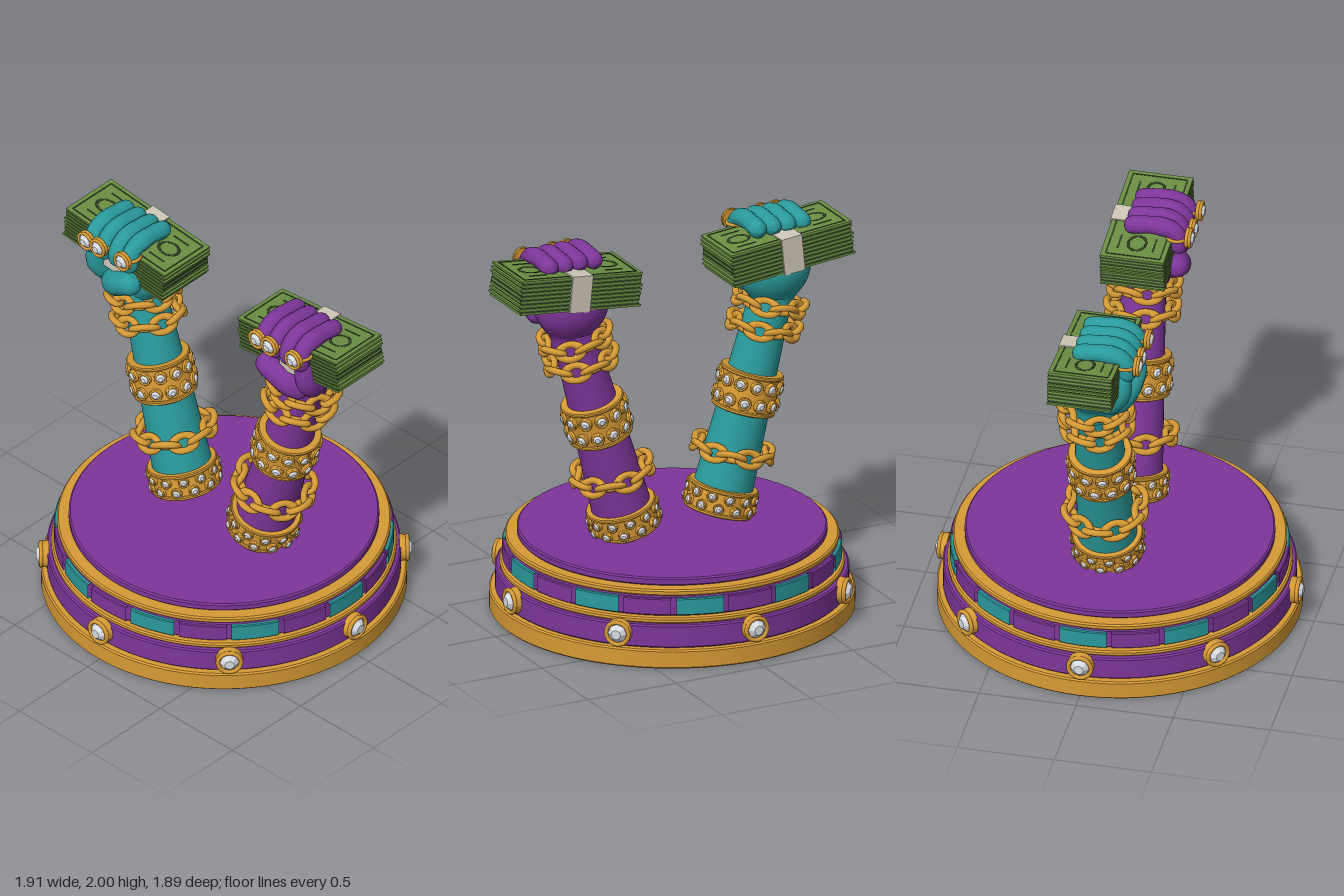
import * as THREE from 'three';
import { toCreasedNormals } from 'three/addons/utils/BufferGeometryUtils.js';

const paint = (color, extra = {}) => new THREE.MeshStandardMaterial({ color, ...extra });
const GOLD = paint(0xd69a35), PURPLE = paint(0x7d3699), TEAL = paint(0x2a9a9c);
const GREEN = paint(0x6b8f42), DARK = paint(0x33452a), PAPER = paint(0xcfc8b8);
const CRYSTAL = paint(0xd8dce2, { flatShading: true });
const PANELS = [PURPLE, TEAL].map(m => paint(m.color, { side: THREE.DoubleSide }));
const V = (x, y, z) => new THREE.Vector3(x, y, z);

function add(parent, name, geo, mat, x = 0, y = 0, z = 0) {
  const mesh = new THREE.Mesh(geo, mat);
  mesh.name = name;
  mesh.position.set(x, y, z);
  parent.add(mesh);
  return mesh;
}

function group(parent, name, x = 0, y = 0, z = 0) {
  const g = new THREE.Group();
  g.name = name;
  g.position.set(x, y, z);
  parent.add(g);
  return g;
}

// Bevelled band between two radii and two heights, optionally only a sector of it
function band(r0, r1, y0, y1, bevel = 0.008, segs = 96, start = 0, sweep = Math.PI * 2) {
  const pts = [[r0, y0], [r1 - bevel, y0], [r1, y0 + bevel], [r1, y1 - bevel], [r1 - bevel, y1], [r0, y1]];
  const geo = new THREE.LatheGeometry(pts.map(p => new THREE.Vector2(...p)), segs, start, sweep);
  return toCreasedNormals(geo, 0.5);
}

// Round-ended tube whose radius changes along a smooth path
function limb(points, radii, radial = 16, segs = 36) {
  const curve = new THREE.CatmullRomCurve3(points);
  const geo = new THREE.TubeGeometry(curve, segs, 1, radial);
  const pos = geo.attributes.position, len = curve.getLength(), v = V(0, 0, 0);
  for (let i = 0; i < pos.count; i++) {
    const t = Math.floor(i / (radial + 1)) / segs, f = t * (radii.length - 1);
    const k = Math.min(Math.floor(f), radii.length - 2);
    const r = THREE.MathUtils.lerp(radii[k], radii[k + 1], f - k);
    const e = Math.min(1, Math.min(t, 1 - t) * len / r);
    const c = curve.getPointAt(t);
    v.fromBufferAttribute(pos, i).sub(c).multiplyScalar(r * Math.sqrt(Math.max(1e-5, 1 - (1 - e) ** 2))).add(c);
    pos.setXYZ(i, v.x, v.y, v.z);
  }
  geo.computeVertexNormals();
  return geo;
}

// Faceted crystal in a gold setting, facing local +z
function gem(parent, r, depth) {
  const g = group(parent, 'gem');
  add(g, 'gemSetting', new THREE.CylinderGeometry(r * 0.92, r, depth, 20), GOLD).rotation.x = Math.PI / 2;
  add(g, 'gemRim', new THREE.TorusGeometry(r * 0.84, r * 0.16, 8, 20), GOLD, 0, 0, depth / 2);
  add(g, 'crystal', new THREE.CylinderGeometry(r * 0.36, r * 0.74, r * 0.4, 8), CRYSTAL, 0, 0, depth / 2 + r * 0.15)
    .rotation.x = Math.PI / 2;
  return g;
}

function gemCircle(parent, count, radius, y, r, depth, offset = 0) {
  for (let i = 0; i < count; i++) {
    const a = (i + offset) / count * Math.PI * 2;
    const g = gem(parent, r, depth);
    g.position.set(Math.sin(a) * radius, y, Math.cos(a) * radius);
    g.rotation.y = a;
  }
}

// Ring of interlocking stretched links, alternately twisted
function chain(parent, y, radius, count, tilt) {
  const g = group(parent, 'chainBracelet', 0, y, 0);
  const link = new THREE.TorusGeometry(0.039, 0.0175, 8, 20);
  for (let i = 0; i < count; i++) {
    const a = i / count * Math.PI * 2;
    const m = add(g, 'chainLink', link, GOLD, Math.sin(a) * radius, 0, Math.cos(a) * radius);
    m.rotation.set(i % 2 ? 0.95 : -0.6, a, 0, 'YXZ');
    m.scale.x = 1.5;
  }
  g.rotation.z = tilt;
}

// Gold cuff with two rows of crystals
function cuff(parent, y, r, h, gemR) {
  const g = group(parent, 'studdedCuff', 0, y, 0);
  add(g, 'cuffBand', band(r * 0.7, r, -h / 2, h / 2, 0.006, 48), GOLD);
  for (const s of [-1, 1]) {
    add(g, 'cuffEdge', band(r * 0.7, r + 0.01, s * h * 0.46 - 0.01, s * h * 0.46 + 0.01, 0.005, 48), GOLD);
    gemCircle(g, 12, r + 0.006, s * h * 0.22, gemR, 0.016, s > 0 ? 0.5 : 0);
  }
}

// Stack of banknotes wrapped with a paper strap
function bundle(parent) {
  const g = group(parent, 'banknoteBundle');
  const L = 0.685, H = 0.18, W = 0.33, n = 17;
  for (let i = 0; i < n; i++) {
    const shift = ((i * 7) % 5 - 2) * 0.003, dark = i % 2;
    add(g, 'banknote', new THREE.BoxGeometry(L - dark * 0.012, H / n, W - dark * 0.01),
      dark ? DARK : GREEN, shift, -H / 2 + (i + 0.5) * H / n, 0);
  }
  // Printed border, ovals and dashes on both outer notes
  for (const s of [-1, 1]) {
    const y = s * (H / 2 + 0.0005);
    for (const k of [-1, 1]) {
      add(g, 'noteBorder', new THREE.BoxGeometry(L - 0.05, 0.004, 0.007), DARK, 0, y, k * (W / 2 - 0.025));
      add(g, 'noteBorder', new THREE.BoxGeometry(0.007, 0.004, W - 0.05), DARK, k * (L / 2 - 0.025), y, 0);
      const oval = add(g, 'noteOval', new THREE.TorusGeometry(0.045, 0.006, 6, 24), DARK, k * 0.215, y, 0);
      oval.rotation.x = Math.PI / 2;
      oval.scale.set(1.25, 1, 0.4);
      for (const z of [-0.09, 0.09])
        add(g, 'noteDash', new THREE.BoxGeometry(0.1, 0.004, 0.008), DARK, k * 0.215, y, z);
    }
  }
  add(g, 'paperStrap', new THREE.BoxGeometry(0.115, H + 0.014, W + 0.014), PAPER);
  return g;
}

// Fist closed around the bundle; s is the side (+1 left, -1 right)
function hand(parent, s, skin) {
  const g = group(parent, 'fist', s * 0.59, 0, 0);
  const palm = [[0.1, 1.48], [0.115, 1.55], [0.145, 1.59], [0.178, 1.64], [0.195, 1.7], [0.185, 1.75], [0.12, 1.785], [0, 1.79]];
  const curve = new THREE.SplineCurve(palm.map(p => new THREE.Vector2(...p)));
  add(g, 'palm', new THREE.LatheGeometry(curve.getPoints(28), 32), skin, s * -0.018).scale.z = 0.84;
  for (const x of [-0.125, -0.042, 0.042, 0.125]) {
    const path = [[1.81, 0.19], [1.88, 0.197], [1.935, 0.17], [1.955, 0.09], [1.951, 0.01], [1.935, -0.085]];
    add(g, 'finger', limb(path.map(([y, z]) => V(x, y, z)), [0.043, 0.048, 0.045, 0.049, 0.045, 0.047, 0.044]), skin);
  }
  add(g, 'handEdge', limb([V(s * 0.1, 1.62, 0.06), V(s * 0.13, 1.72, 0.155), V(s * 0.122, 1.86, 0.18)], [0.07, 0.06, 0.045]), skin);
  add(g, 'thumb', limb([V(s * 0.07, 1.6, 0.07), V(s * 0.01, 1.65, 0.15), V(s * -0.08, 1.705, 0.185), V(s * -0.17, 1.745, 0.18)],
    [0.08, 0.075, 0.062, 0.06]), skin);
  add(g, 'thumbBase', limb([V(s * -0.06, 1.6, 0.05), V(s * -0.14, 1.69, 0.09), V(s * -0.16, 1.75, 0.15)], [0.09, 0.08, 0.06]), skin);
  const money = bundle(g);
  money.position.set(s * 0.01, 1.825, 0.003);
  money.rotation.z = s * 0.1;
  // Finger rings
  for (const x of [-0.125, -0.04, 0.125]) {
    gem(g, 0.053, 0.022).position.set(x, 1.905, 0.248);
    const hoop = add(g, 'fingerRing', new THREE.TorusGeometry(0.05, 0.009, 8, 20), GOLD, x, 1.905, 0.19);
    hoop.rotation.x = Math.PI / 2;
  }
}

export function createModel() {
  const model = new THREE.Group();
  model.name = 'trophy';

  // Round tiered base
  const base = group(model, 'base');
  const tiers = [[0.92, 0, 0.1, GOLD], [0.89, 0.1, 0.222, PURPLE], [0.868, 0.222, 0.252, GOLD],
    [0.835, 0.252, 0.36, PURPLE], [0.84, 0.36, 0.393, GOLD], [0.78, 0.393, 0.435, PURPLE]];
  for (const [r, y0, y1, mat] of tiers) add(base, 'baseTier', band(0, r, y0, y1), mat);
  for (let i = 0; i < 20; i++) {
    const a = i * Math.PI / 10, half = 0.142;
    add(base, 'basePanel', band(0.82, 0.854, 0.262, 0.352, 0.005, 8, a - half, half * 2), PANELS[i % 2]);
  }
  gemCircle(base, 8, 0.9, 0.175, 0.07, 0.04);

  // Leaning arms with cuffs, chains and fists
  for (const s of [1, -1]) {
    const skin = s > 0 ? PURPLE : TEAL;
    const arm = group(model, s > 0 ? 'leftArm' : 'rightArm', s * 0.255, 0.455, 0);
    arm.rotation.z = -s * 0.27;
    add(arm, 'forearm', new THREE.CylinderGeometry(0.108, 0.158, 1.16, 40), skin, 0, 0.58, 0);
    cuff(arm, 0.075, 0.17, 0.13, 0.028);
    cuff(arm, 0.65, 0.153, 0.21, 0.034);
    chain(arm, 0.33, 0.18, 12, s * 0.05);
    chain(arm, 0.99, 0.155, 10, s * 0.06);
    chain(arm, 1.115, 0.155, 10, s * 0.03);
    hand(model, s, skin);
  }
  return model;
}
